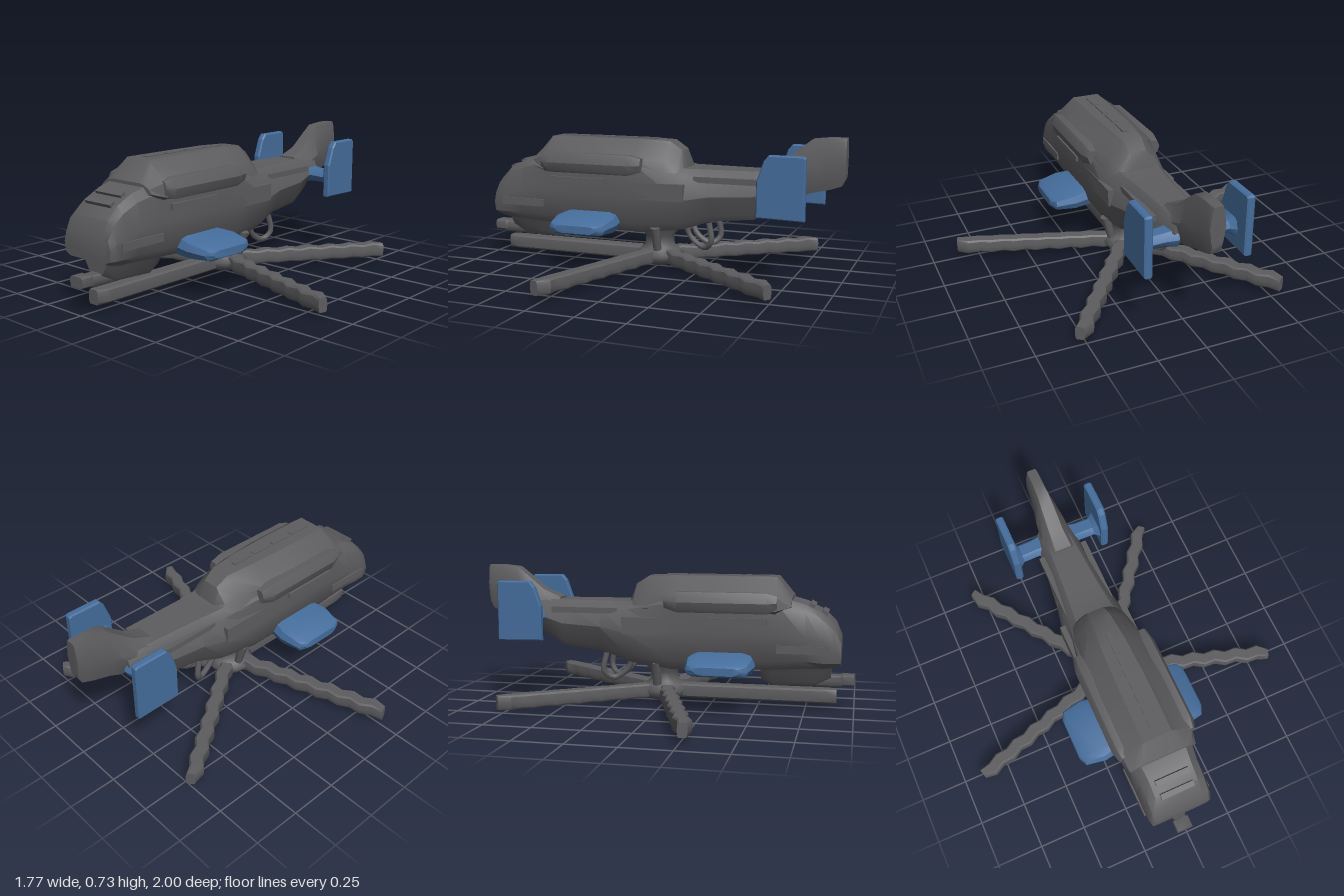
import * as THREE from 'three';
import { toCreasedNormals } from 'three/addons/utils/BufferGeometryUtils.js';

const grey = new THREE.MeshStandardMaterial({ color: 0x5d5d60 });
grey.name = 'gunmetal grey';
const blue = new THREE.MeshStandardMaterial({ color: 0x456d9c });
blue.name = 'steel blue';

const CX = -0.025; // centre line of the fuselage

// Skin over sections [z, bottom, top, half width at bottom, middle, top, x shift], listed front to back
function loft(sections, crease = 0.6) {
  const pos = [], idx = [], n = 10;
  for (const [z, y0, y1, w0, w1, w2, cx = 0] of sections) {
    const h = y1 - y0;
    const half = [[w0 * 0.8, y0], [w0, y0 + h * 0.12], [w1, y0 + h * 0.5], [w2, y1 - h * 0.12], [w2 * 0.75, y1]];
    for (const [x, y] of half) pos.push(cx + x, y, z);
    for (const [x, y] of half.slice().reverse()) pos.push(cx - x, y, z);
  }
  const last = (sections.length - 1) * n;
  for (let i = 0; i < last; i += n) {
    for (let j = 0; j < n; j++) {
      const a = i + j, b = i + (j + 1) % n;
      idx.push(a, a + n, b, a + n, b + n, b);
    }
  }
  for (let j = 1; j < n - 1; j++) {
    idx.push(0, j, j + 1, last, last + j + 1, last + j);
  }
  const g = new THREE.BufferGeometry();
  g.setAttribute('position', new THREE.Float32BufferAttribute(pos, 3));
  g.setIndex(idx);
  return toCreasedNormals(g, crease);
}

export function createModel() {
  const model = new THREE.Group();
  model.name = 'helicopter';

  const add = (name, geo, mat = grey, x = CX, y = 0, z = 0, parent = model) => {
    const m = new THREE.Mesh(geo, mat);
    m.name = name;
    m.position.set(x, y, z);
    parent.add(m);
    return m;
  };
  const box = (name, w, h, d, x, y, z) => add(name, new THREE.BoxGeometry(w, h, d), grey, x, y, z);

  // Fuselage from nose to tail boom
  add('fuselage', loft([
    [0.93, 0.25, 0.38, 0.155, 0.165, 0.15],
    [0.90, 0.24, 0.45, 0.165, 0.175, 0.155],
    [0.84, 0.23, 0.51, 0.165, 0.18, 0.155],
    [0.75, 0.23, 0.555, 0.165, 0.18, 0.155],
    [0.62, 0.22, 0.59, 0.165, 0.185, 0.17],
    [0.40, 0.21, 0.60, 0.165, 0.19, 0.18],
    [0.05, 0.20, 0.60, 0.16, 0.19, 0.18],
    [-0.18, 0.23, 0.55, 0.14, 0.18, 0.14],
    [-0.33, 0.28, 0.55, 0.11, 0.15, 0.12],
    [-0.55, 0.30, 0.55, 0.09, 0.125, 0.10],
    [-0.65, 0.36, 0.55, 0.08, 0.115, 0.09],
    [-0.75, 0.43, 0.55, 0.05, 0.09, 0.07],
  ]));

  // Raised roof cowling
  add('roofCowling', loft([
    [0.68, 0.54, 0.59, 0.18, 0.16, 0.13],
    [0.60, 0.50, 0.69, 0.20, 0.19, 0.10],
    [0.30, 0.50, 0.69, 0.20, 0.19, 0.10],
    [0.08, 0.50, 0.69, 0.185, 0.17, 0.09],
    [-0.08, 0.50, 0.685, 0.16, 0.13, 0.07],
    [-0.15, 0.50, 0.64, 0.14, 0.11, 0.06],
    [-0.18, 0.50, 0.56, 0.12, 0.10, 0.06],
  ]));
  for (let i = 0; i < 4; i++) box('roofVent', 0.03, 0.012, 0.12, CX, 0.689, 0.49 - i * 0.14);
  for (let i = 0; i < 2; i++) {
    const bar = box('windscreenBar', 0.18, 0.018, 0.03, CX, 0.547 - i * 0.035, 0.78 + i * 0.065);
    bar.rotation.x = 0.5;
  }

  // Tail fin sweeping back and up
  add('tailFin', loft([
    [-0.58, 0.46, 0.56, 0.10, 0.10, 0.06],
    [-0.68, 0.43, 0.60, 0.075, 0.085, 0.05],
    [-0.78, 0.43, 0.68, 0.05, 0.075, 0.045],
    [-0.83, 0.45, 0.72, 0.045, 0.065, 0.04],
    [-0.92, 0.47, 0.73, 0.035, 0.05, 0.035],
    [-0.98, 0.49, 0.73, 0.03, 0.045, 0.035],
    [-1.0, 0.53, 0.73, 0.03, 0.04, 0.03],
  ]));

  // Upright end plate profile, drawn in (-z, y)
  const plate = new THREE.Shape([[0.61, 0.35], [0.85, 0.345], [0.85, 0.65], [0.84, 0.66], [0.67, 0.66], [0.645, 0.63], [0.61, 0.53]]
    .map(([x, y]) => new THREE.Vector2(x, y)));
  const plateGeo = new THREE.ExtrudeGeometry(plate, { depth: 0.026, bevelSize: 0.006, bevelThickness: 0.008, bevelOffset: -0.006, bevelSegments: 1 });
  plateGeo.translate(0, 0, -0.013).rotateY(Math.PI / 2);

  for (const s of [-1, 1]) {
    const side = s > 0 ? 'left' : 'right';
    // Engine pods, side panels and door rails
    add(side + 'EnginePod', loft([
      [0.61, 0.53, 0.60, 0.02, 0.03, 0.02],
      [0.56, 0.51, 0.615, 0.035, 0.045, 0.03],
      [0.10, 0.51, 0.615, 0.035, 0.045, 0.03],
      [0.03, 0.53, 0.60, 0.02, 0.03, 0.02],
    ]), grey, CX + s * 0.178);
    box(side + 'DoorRail', 0.03, 0.03, 0.32, CX + s * 0.182, 0.47, 0.40);
    box(side + 'RearPanel', 0.03, 0.09, 0.34, CX + s * 0.172, 0.43, -0.03);
    box(side + 'CockpitSill', 0.025, 0.04, 0.26, CX + s * 0.172, 0.33, 0.74);
    box(side + 'BoomRail', 0.03, 0.03, 0.36, CX + s * 0.122, 0.50, -0.42);

    // Stub wing, turned so that its sections run outwards
    const wing = add(side + 'StubWing', loft([
      [0.345, 0.215, 0.255, 0.10, 0.12, 0.11],
      [0.325, 0.205, 0.27, 0.145, 0.16, 0.15],
      [0.22, 0.20, 0.295, 0.165, 0.18, 0.165],
      [0.12, 0.20, 0.31, 0.15, 0.165, 0.14],
    ]), blue, CX + s * 0.015, 0, 0.33);
    wing.rotation.y = s * Math.PI / 2;

    // Tailplane, flared where it meets the end plate
    const tailplane = add(side + 'Tailplane', loft([
      [0.245, 0.40, 0.51, 0.07, 0.085, 0.07],
      [0.21, 0.42, 0.485, 0.04, 0.055, 0.04],
      [0.13, 0.42, 0.49, 0.04, 0.055, 0.04],
      [0.06, 0.41, 0.50, 0.05, 0.065, 0.05],
    ]), blue, CX, 0, -0.70);
    tailplane.rotation.y = s * Math.PI / 2;
    add(side + 'EndPlate', plateGeo, blue, CX + s * 0.258);

    // Bent struts under the rear belly
    const strut = new THREE.CatmullRomCurve3([
      new THREE.Vector3(CX + s * 0.08, 0.27, -0.31), new THREE.Vector3(CX + s * 0.085, 0.17, -0.325),
      new THREE.Vector3(CX + s * 0.06, 0.13, -0.28), new THREE.Vector3(CX + s * 0.05, 0.18, -0.20),
      new THREE.Vector3(CX + s * 0.06, 0.26, -0.17),
    ]);
    add(side + 'Strut', new THREE.TubeGeometry(strut, 14, 0.016, 6), grey, 0);
  }

  // Chin gun and its mount
  add('gunMount', loft([
    [0.88, 0.17, 0.26, 0.05, 0.07, 0.09],
    [0.80, 0.13, 0.26, 0.06, 0.08, 0.11],
    [0.58, 0.12, 0.26, 0.06, 0.08, 0.11],
    [0.52, 0.15, 0.25, 0.05, 0.07, 0.10],
  ]));
  add('gunBarrel', loft([
    [1.0, 0.13, 0.185, 0.042, 0.045, 0.042],
    [0.94, 0.13, 0.185, 0.042, 0.045, 0.042],
    [0.93, 0.12, 0.18, 0.035, 0.04, 0.035],
    [0.56, 0.12, 0.18, 0.035, 0.04, 0.035],
  ]));

  // Rotor slung under the belly: mast, hub and five blades
  const rotor = new THREE.Group();
  rotor.name = 'rotor';
  rotor.position.set(CX + 0.01, 0, -0.01);
  model.add(rotor);
  const hub = [[0, 0], [0.06, 0.012], [0.11, 0.035], [0.13, 0.07], [0.105, 0.10], [0.08, 0.12], [0.075, 0.17], [0.11, 0.21], [0.11, 0.24]]
    .map(([x, y]) => new THREE.Vector2(x, y));
  add('mastAndHub', new THREE.LatheGeometry(hub, 16), grey, 0, 0, 0, rotor);
  for (const s of [-1, 1]) {
    const brace = add('mastBrace', new THREE.CylinderGeometry(0.028, 0.022, 0.13, 7), grey, s * 0.11, 0.17, -0.02, rotor);
    brace.rotation.z = s * -0.25;
  }
  for (let k = 0; k < 5; k++) {
    const wave = k ? 0.008 : 0, sections = [];
    for (let i = 0; i <= 14; i++) {
      const t = i / 14, w = (k ? 0.034 : 0.042) - (i ? 0 : 0.012);
      const sway = wave * (i % 2 ? 1 : -1);
      sections.push([0.92 - t * 0.86, 0.03, 0.103 + sway * 0.3, w, w + 0.003, w, sway]);
    }
    const blade = add('rotorBlade', loft(sections), grey, 0, 0, 0, rotor);
    blade.rotation.y = k * Math.PI * 2 / 5;
  }

  return model;
}
